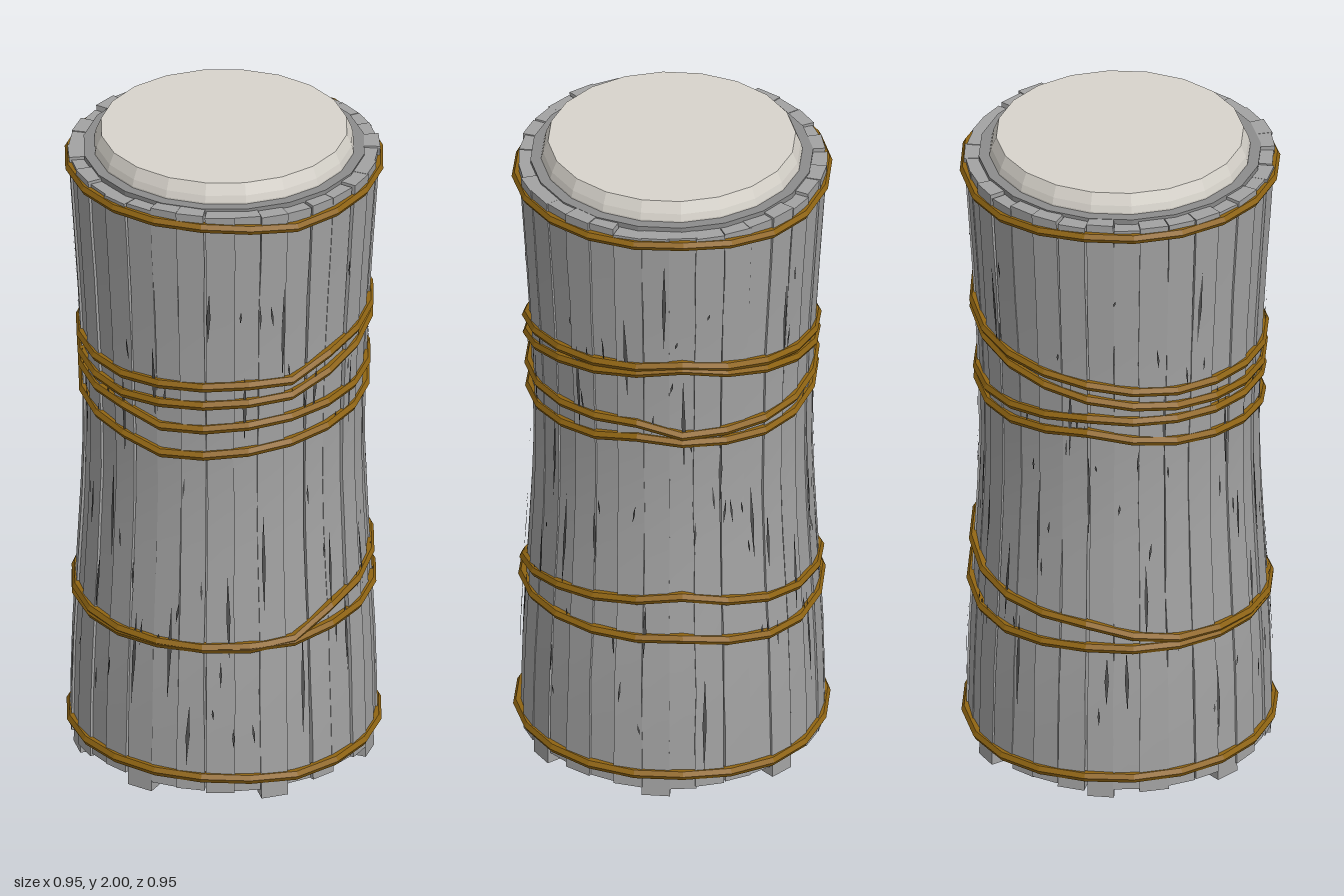
import * as THREE from 'three';

const mat = (color, extra = {}) => new THREE.MeshStandardMaterial({ color, ...extra });

// small seeded random
let seed = 7;
const rnd = () => (seed = (seed * 16807) % 2147483647) / 2147483647;
const jitter = (s) => (rnd() - 0.5) * 2 * s;

// piecewise linear lookup in [key, value] pairs
function lookup(table, k) {
  let i = 1;
  while (i < table.length - 1 && table[i][0] < k) i++;
  const [a, b] = [table[i - 1], table[i]];
  return THREE.MathUtils.mapLinear(k, a[0], b[0], a[1], b[1]);
}

// waisted outline: height -> outer radius
const outline = [[0, 0.45], [0.3, 0.445], [0.55, 0.432], [0.8, 0.418], [1, 0.411],
  [1.2, 0.414], [1.5, 0.428], [1.94, 0.457]];
const radiusAt = (y) => lookup(outline, y);

// one curved stave with slightly wavy edges
function staveGeometry(angle, halfWidth, y0, y1, push) {
  const rows = 12;
  const g = new THREE.BoxGeometry(2, 1, 0.05, 1, rows, 1);
  const p = g.attributes.position;
  const edge = Array.from({ length: (rows + 1) * 2 }, () => 1 + jitter(0.06));
  for (let i = 0; i < p.count; i++) {
    const t = p.getY(i) + 0.5;
    const y = y0 + t * (y1 - y0);
    const side = p.getX(i) > 0 ? 1 : 0;
    const w = p.getX(i) * halfWidth * edge[Math.round(t * rows) * 2 + side];
    const r = radiusAt(y) - 0.025 + push + p.getZ(i);
    const a = angle + w;
    p.setXYZ(i, r * Math.sin(a), y, r * Math.cos(a));
  }
  g.computeVertexNormals();
  return g;
}

// narrow tapering split lying on the stave surface
function splitGeometry(angle, y, length, width) {
  const g = new THREE.PlaneGeometry(1, 1, 1, 6);
  const p = g.attributes.position;
  const lean = jitter(0.02);
  for (let i = 0; i < p.count; i++) {
    const t = p.getY(i);
    const h = y + t * length;
    const a = angle + lean * t + p.getX(i) * width * (1 - Math.abs(t) * 1.9) / 0.43;
    const r = radiusAt(h) + 0.006;
    p.setXYZ(i, r * Math.sin(a), h, r * Math.cos(a));
  }
  g.computeVertexNormals();
  return g;
}

// rope loop: path gives [degrees from the front, height]
function ropeGeometry(path) {
  const g = new THREE.TorusGeometry(1, 0.016, 6, 20);
  const p = g.attributes.position;
  const closed = [...path, [360, path[0][1]]];
  for (let i = 0; i < p.count; i++) {
    const [x, y, z] = [p.getX(i), p.getY(i), p.getZ(i)];
    const a = Math.atan2(y, x);
    const deg = (THREE.MathUtils.radToDeg(a) + 360) % 360;
    const h = lookup(closed, deg);
    const r = radiusAt(h) + 0.003 + Math.hypot(x, y) - 1;
    p.setXYZ(i, r * Math.sin(a), h + z, r * Math.cos(a));
  }
  g.computeVertexNormals();
  return g;
}

const ropePaths = [
  [[0, 1.9], [45, 1.9], [72, 1.877], [108, 1.892], [180, 1.905], [225, 1.877], [270, 1.9]],
  [[0, 1.34], [54, 1.36], [72, 1.355], [90, 1.405], [115, 1.44], [150, 1.455], [180, 1.475],
    [225, 1.42], [270, 1.38], [300, 1.35]],
  [[0, 1.275], [54, 1.3], [72, 1.305], [90, 1.345], [120, 1.4], [180, 1.46], [225, 1.39],
    [270, 1.33], [300, 1.3]],
  [[0, 1.235], [20, 1.2], [60, 1.227], [90, 1.24], [150, 1.26], [165, 1.265], [180, 1.225],
    [225, 1.23], [270, 1.265]],
  [[0, 1.14], [20, 1.112], [60, 1.14], [90, 1.16], [150, 1.195], [168, 1.225], [180, 1.2],
    [225, 1.18], [270, 1.215], [300, 1.18]],
  [[0, 0.5], [54, 0.495], [72, 0.505], [90, 0.57], [120, 0.62], [180, 0.675], [225, 0.6],
    [270, 0.575], [300, 0.52]],
  [[0, 0.492], [54, 0.5], [72, 0.497], [90, 0.512], [120, 0.525], [180, 0.535], [225, 0.48],
    [270, 0.5]],
  [[0, 0.078], [45, 0.075], [72, 0.06], [108, 0.07], [180, 0.075], [225, 0.055], [270, 0.07]],
];

export function createModel() {
  seed = 7;
  const model = new THREE.Group();
  const add = (name, geometry, material, parent = model) => {
    const m = new THREE.Mesh(geometry, material);
    m.name = name;
    parent.add(m);
    return m;
  };
  const group = (name) => {
    const g = new THREE.Group();
    g.name = name;
    model.add(g);
    return g;
  };

  const wood = mat(0xa3a3a3);
  const dark = mat(0x505050, { side: THREE.DoubleSide });
  const rope = mat(0x8f6412, { flatShading: true });
  const capMat = mat(0xd8d4cc, { flatShading: true });

  // solid core behind the staves, following the waist
  const coreProfile = [new THREE.Vector2(0, 0.035)];
  for (let i = 0; i <= 10; i++) {
    const y = 0.035 + i * 0.1905;
    coreProfile.push(new THREE.Vector2(radiusAt(y) - 0.04, y));
  }
  coreProfile.push(new THREE.Vector2(0.375, 1.94));
  add('core', new THREE.LatheGeometry(coreProfile, 20), mat(0x8c8c8c, { flatShading: true }));

  // ring of uneven staves; a few reach the ground
  const staves = group('staves');
  const count = 34;
  for (let i = 0; i < count; i++) {
    const a = (i / count) * Math.PI * 2 + jitter(0.012);
    const y0 = i % 5 === 1 ? 0.0 : 0.02 + rnd() * 0.02;
    const half = (Math.PI / count) * (1.0 + jitter(0.04));
    add('stave', staveGeometry(a, half, y0, 1.92 + rnd() * 0.02, jitter(0.005)), wood, staves);
  }

  // weathered splits along the grain
  const splits = group('splits');
  for (let i = 0; i < 130; i++) {
    const long = i % 3 === 0;
    const length = long ? 0.15 + rnd() * 0.18 : 0.02 + rnd() * 0.07;
    const y = 0.2 + rnd() * 1.5;
    const width = long ? 0.012 : 0.007;
    add('split', splitGeometry(i * 2.39996, y, length, width), dark, splits);
  }

  // ropes bound around the staves
  const ropes = group('ropes');
  ropePaths.forEach((path) => add('rope', ropeGeometry(path), rope, ropes));

  // bevelled cap on top
  const cap = [[0.385, 1.9], [0.385, 1.945], [0.38, 1.965], [0.365, 2], [0, 2]];
  add('cap', new THREE.LatheGeometry(cap.map(([r, y]) => new THREE.Vector2(r, y)), 20), capMat);

  return model;
}
